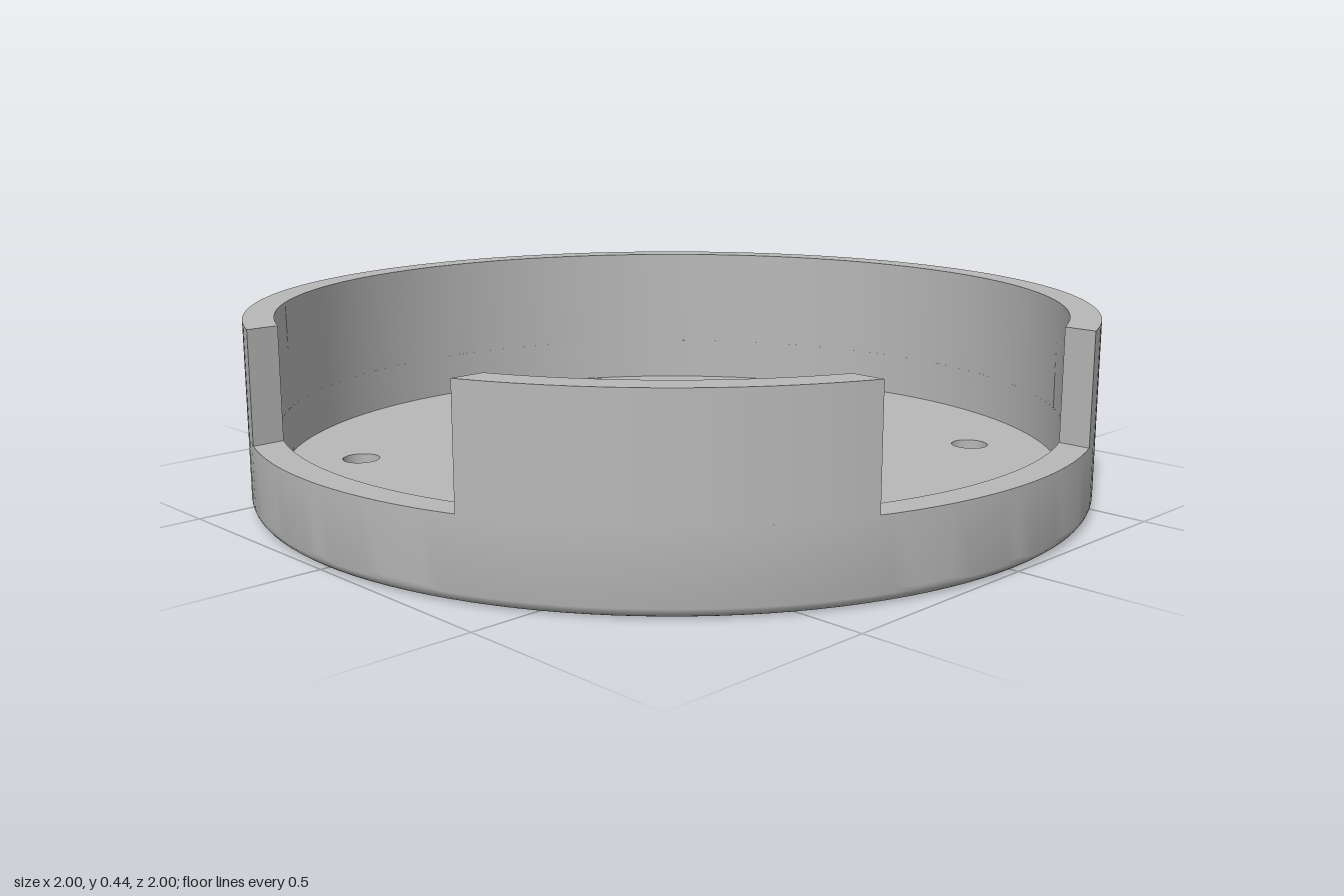
import * as THREE from 'three';
import { toCreasedNormals } from 'three/addons/utils/BufferGeometryUtils.js';

const OUTER = 1, INNER = 0.93, FLOOR = 0.07, SILL = 0.18, TOP = 0.44;
const FILLET = 0.03, GROOVE = 0.02, NOTCH = 0.366;

// Plan shape (x, z) extruded between two heights
function slab(shape, y0, y1, segments = 64) {
  const g = new THREE.ExtrudeGeometry(shape, { depth: y1 - y0, bevelEnabled: false, curveSegments: segments });
  g.rotateX(Math.PI / 2).translate(0, y1, 0);
  return toCreasedNormals(g, 0.6);
}

function rect(x0, x1, z0, z1) {
  return new THREE.Path([[x0, z0], [x0, z1], [x1, z1], [x1, z0]].map(p => new THREE.Vector2(...p)));
}

// Disc with the four screw holes and the cable opening
function floorShape(radius) {
  const s = new THREE.Shape().absarc(0, 0, radius, 0, Math.PI * 2, false);
  for (const x of [-0.583, 0.583])
    for (const z of [-0.476, 0.468])
      s.holes.push(new THREE.Path().absarc(x, z, 0.044, 0, Math.PI * 2, true));
  s.holes.push(rect(0.255, 0.47, -0.8, -0.365));
  return s;
}

// Wall section between two notches with straight, parallel-sided cuts
function wallShape(from, to) {
  const a = Math.asin(NOTCH / OUTER), b = Math.asin(NOTCH / INNER);
  const s = new THREE.Shape();
  s.absarc(0, 0, OUTER, from + a, to - a, false);
  s.absarc(0, 0, INNER, to - b, from + b, true);
  s.closePath();
  return s;
}

export function createModel() {
  const model = new THREE.Group();
  const grey = new THREE.MeshStandardMaterial({ color: 0xb8b8b8 });
  grey.name = 'grey plastic';
  const add = (name, geometry) => {
    const mesh = new THREE.Mesh(geometry, grey);
    mesh.name = name;
    model.add(mesh);
  };

  // Low ring all round, with a rounded bottom edge
  const profile = [];
  for (let i = 0; i <= 6; i++) {
    const t = (i / 6) * Math.PI / 2;
    profile.push(new THREE.Vector2(OUTER - FILLET + FILLET * Math.sin(t), FILLET - FILLET * Math.cos(t)));
  }
  profile.push(new THREE.Vector2(OUTER, SILL), new THREE.Vector2(INNER, SILL), new THREE.Vector2(INNER, FLOOR - 0.01));
  add('baseRing', toCreasedNormals(new THREE.LatheGeometry(profile, 128), 0.6));

  // Floor in two layers; the lower one is pierced by a shallow groove
  const under = floorShape(OUTER - FILLET);
  under.holes.push(rect(-0.015, 0.015, -0.2, 0.17));
  add('floorUnderside', slab(under, 0, GROOVE));
  add('floor', slab(floorShape(INNER), GROOVE, FLOOR));

  // Tall walls either side of the front and side notches
  const H = Math.PI / 2;
  add('longWall', slab(wallShape(2 * H, 5 * H), SILL, TOP, 96));
  add('shortWall', slab(wallShape(H, 2 * H), SILL, TOP, 24));

  return model;
}
